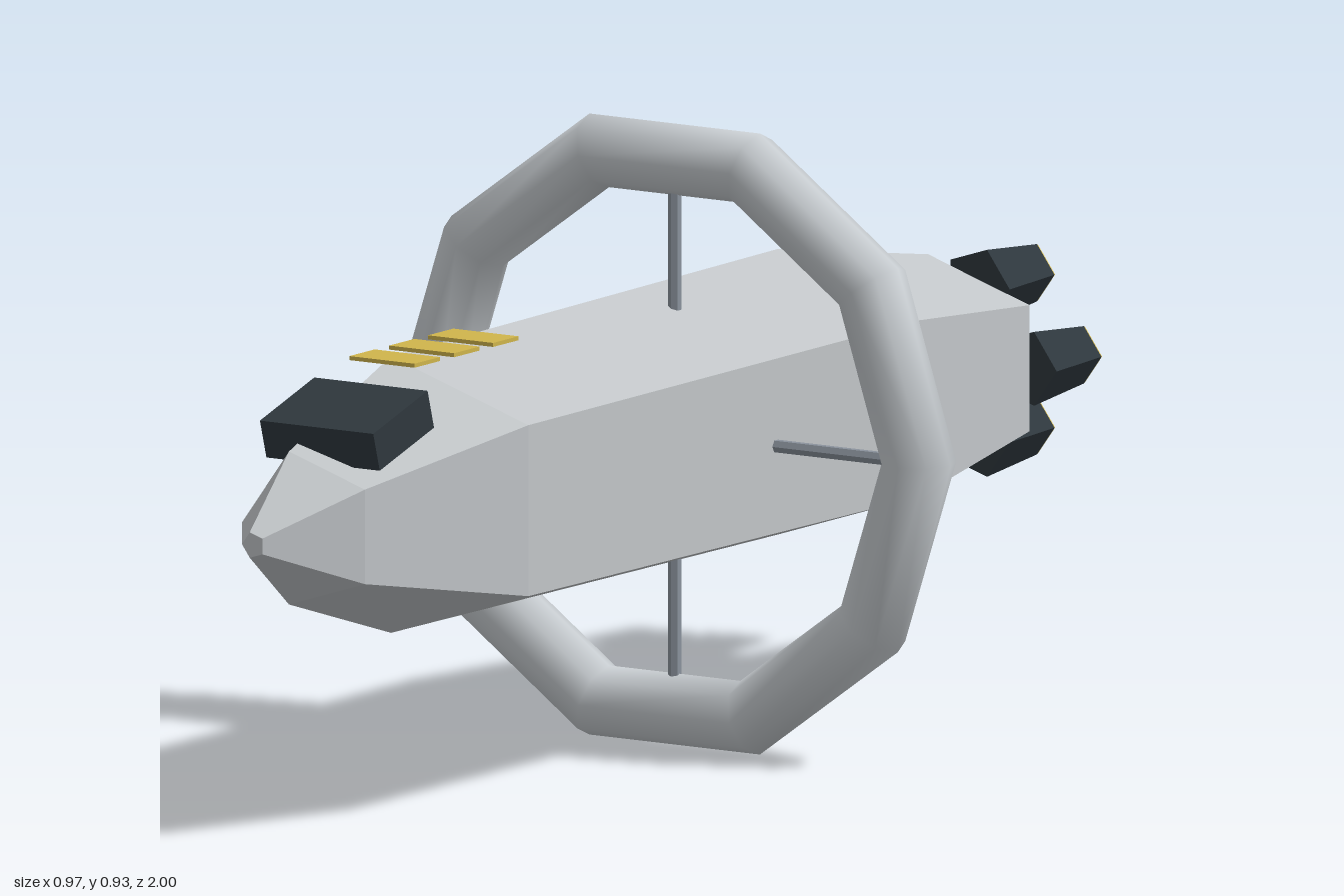
import * as THREE from 'three';

const AXIS_Y = 0.467; // height of the ship's long axis
const RING_Z = -0.115;

function material(name, color, flatShading = true) {
  const m = new THREE.MeshStandardMaterial({ color, flatShading });
  m.name = name;
  return m;
}

export function createModel() {
  const hullGrey = material('hull grey', 0xc2c6c9);
  const ringGrey = material('ring grey', 0xc8cdd1, false);
  const strutGrey = material('strut grey', 0x8a929c);
  const darkSteel = material('dark steel', 0x2f383e);
  const gold = material('gold', 0xd0b54c);

  const model = new THREE.Group();
  model.name = 'spaceship';
  const add = (name, geometry, mat, x, y, z, parent = model) => {
    const mesh = new THREE.Mesh(geometry, mat);
    mesh.name = name;
    mesh.position.set(x, y, z);
    parent.add(mesh);
    return mesh;
  };

  // Five-sided hull, [radius, z] from stern to nose
  const profile = [[0, -0.86], [0.16, -0.86], [0.224, -0.49], [0.217, 0.535], [0.12, 0.85], [0.02, 1], [0, 1]];
  const hull = new THREE.LatheGeometry(profile.map(([r, z]) => new THREE.Vector2(r, z)), 5, -Math.PI / 2);
  hull.rotateX(Math.PI / 2);
  add('hull', hull, hullGrey, 0, AXIS_Y, 0);

  // Habitat ring and its crossed struts
  add('habitatRing', new THREE.TorusGeometry(0.431, 0.056, 8, 10), ringGrey, 0, AXIS_Y, RING_Z);
  const strut = new THREE.CylinderGeometry(0.01, 0.01, 0.82, 6);
  add('verticalStrut', strut, strutGrey, 0, AXIS_Y, RING_Z);
  add('horizontalStrut', strut, strutGrey, 0, AXIS_Y, RING_Z).rotation.z = Math.PI / 2;

  // Bridge block, tilted down along the nose
  add('bridge', new THREE.BoxGeometry(0.2, 0.06, 0.15), darkSteel, 0, 0.611, 0.752).rotation.x = 0.29;

  // Row of thin panels above the hull
  const panel = new THREE.BoxGeometry(0.115, 0.006, 0.067);
  for (const z of [0.418, 0.521, 0.626]) add('panel', panel, gold, 0, 0.69, z);

  // Five tapered engines in a circle, each with a glowing end plate
  const nozzle = new THREE.CylinderGeometry(0.058, 0.045, 0.138, 5, 1, false, Math.PI / 2);
  const plate = new THREE.CylinderGeometry(0.044, 0.044, 0.004, 5, 1, false, Math.PI / 2);
  nozzle.rotateX(Math.PI / 2);
  plate.rotateX(Math.PI / 2);
  for (let i = 0; i < 5; i++) {
    const a = (i / 5) * Math.PI * 2;
    const engine = new THREE.Group();
    engine.name = 'engine';
    engine.position.set(0.12 * Math.cos(a), AXIS_Y + 0.12 * Math.sin(a), 0);
    add('nozzle', nozzle, darkSteel, 0, 0, -0.928, engine);
    add('exhaustPlate', plate, gold, 0, 0, -0.998, engine);
    model.add(engine);
  }

  return model;
}
